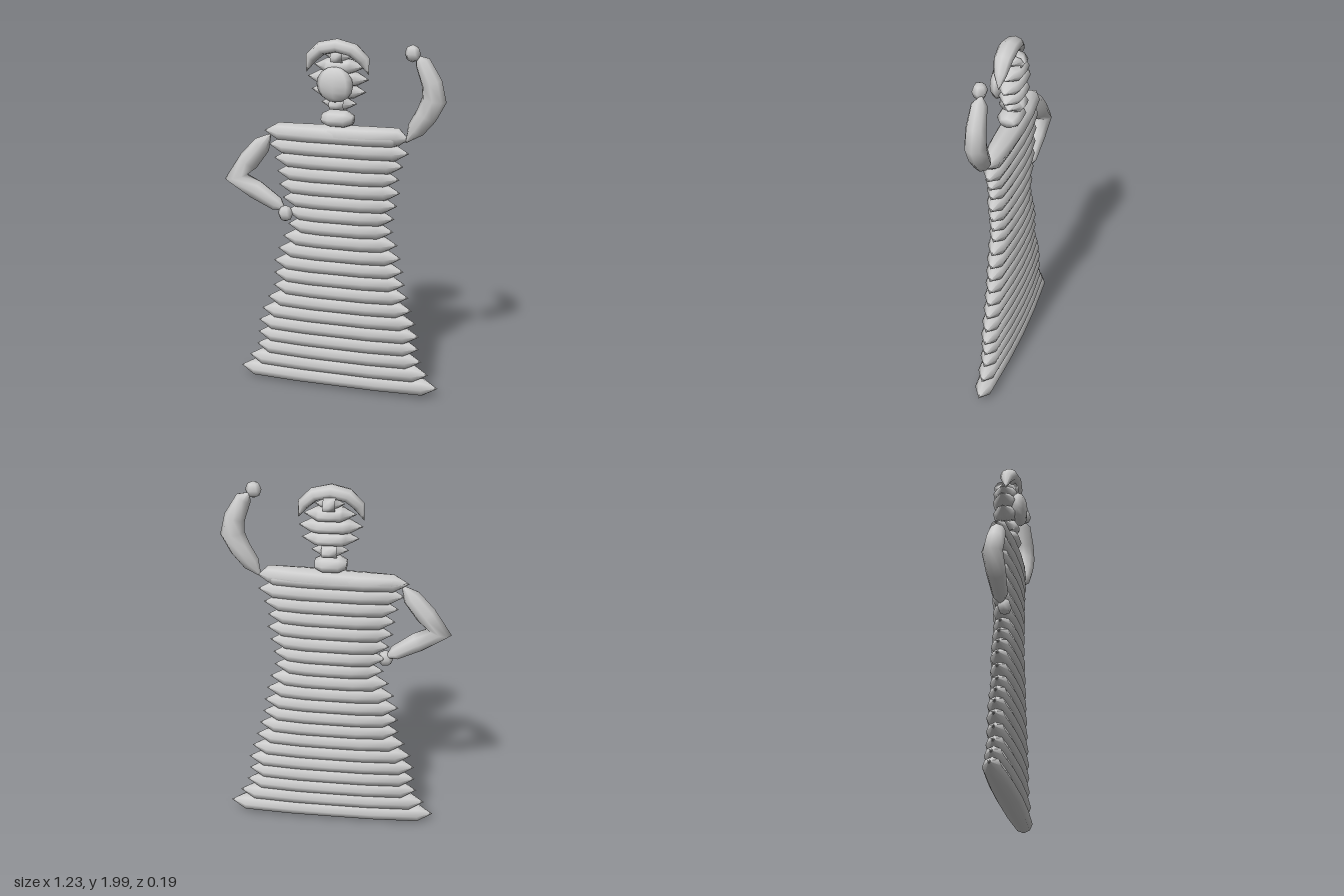
import * as THREE from 'three';

const clay = new THREE.MeshStandardMaterial({ color: 0xcccccc });
clay.name = 'pale grey';
const SIDES = 8;

// Smooth eight-sided tube; each station is [x, y, z, in-plane radius, depth radius].
function sweep(name, stations) {
  const pos = [], index = [];
  stations.forEach((s, i) => {
    const a = stations[Math.max(i - 1, 0)];
    const b = stations[Math.min(i + 1, stations.length - 1)];
    const t = new THREE.Vector2(b[0] - a[0], b[1] - a[1]).normalize();
    for (let j = 0; j < SIDES; j++) {
      const ang = (j / SIDES) * Math.PI * 2;
      const u = Math.cos(ang) * s[3];
      pos.push(s[0] - t.y * u, s[1] + t.x * u, s[2] + Math.sin(ang) * s[4]);
      if (i < stations.length - 1) {
        const p = i * SIDES + j, q = i * SIDES + (j + 1) % SIDES;
        index.push(p, q, p + SIDES, q, q + SIDES, p + SIDES);
      }
    }
  });
  const geo = new THREE.BufferGeometry();
  geo.setAttribute('position', new THREE.Float32BufferAttribute(pos, 3));
  geo.setIndex(index);
  geo.computeVertexNormals();
  const mesh = new THREE.Mesh(geo, clay);
  mesh.name = name;
  return mesh;
}

// Horizontal spindle with pointed ends and a slightly thinner waist.
function spindle(name, x0, x1, y0, y1, tip, ry, rz, zc) {
  const along = (x, k, d) => {
    const f = (x - x0) / (x1 - x0);
    return [x, y0 + (y1 - y0) * f, zc, ry * k, rz * d];
  };
  const w = x1 - x0;
  return sweep(name, [
    along(x0, 0, 0), along(x0 + tip, 0.9, 0.7), along(x0 + w * 0.3, 0.95, 0.93),
    along(x0 + w * 0.5, 0.9, 1), along(x0 + w * 0.7, 0.95, 0.93),
    along(x1 - tip, 0.9, 0.7), along(x1, 0, 0),
  ]);
}

function ball(name, x, y, z, rx, ry, rz, w, h) {
  const mesh = new THREE.Mesh(new THREE.SphereGeometry(1, w, h), clay);
  mesh.name = name;
  mesh.position.set(x, y, z);
  mesh.scale.set(rx, ry, rz);
  return mesh;
}

export function createModel() {
  const model = new THREE.Group();
  model.name = 'robedFigure';

  // Robe: stacked layers from hem to shoulders, [left tip, right tip]
  const robe = new THREE.Group();
  robe.name = 'robe';
  const tips = [
    [-0.55, 0.605], [-0.5, 0.55], [-0.455, 0.51], [-0.445, 0.495], [-0.44, 0.495],
    [-0.42, 0.475], [-0.385, 0.45], [-0.35, 0.43], [-0.345, 0.41], [-0.345, 0.4],
    [-0.32, 0.385], [-0.29, 0.365], [-0.26, 0.34], [-0.27, 0.345], [-0.29, 0.36],
    [-0.31, 0.375], [-0.32, 0.37], [-0.335, 0.39], [-0.365, 0.42], [-0.39, 0.415],
  ];
  tips.forEach(([a, b], i) => {
    const y = 0.06 + i * 0.0743;
    robe.add(spindle('robeLayer', a, b, y - 0.003, y + 0.008, 0.085, 0.056, 0.071, -0.012));
  });
  // Rounded shoulder yoke over the topmost layer
  robe.add(sweep('shoulderYoke', [
    [-0.385, 1.472, -0.015, 0, 0], [-0.3, 1.475, -0.013, 0.04, 0.05],
    [-0.1, 1.475, -0.013, 0.052, 0.065], [0.05, 1.48, -0.013, 0.053, 0.07],
    [0.2, 1.485, -0.013, 0.053, 0.065], [0.36, 1.492, -0.012, 0.05, 0.045],
    [0.415, 1.485, -0.01, 0, 0],
  ]));
  model.add(robe);

  // Neck: short blunt barrel
  model.add(sweep('neck', [
    [-0.057, 1.565, -0.012, 0, 0], [-0.057, 1.565, -0.012, 0.027, 0.04],
    [-0.015, 1.567, -0.012, 0.047, 0.066], [0.07, 1.567, -0.012, 0.047, 0.066],
    [0.11, 1.565, -0.012, 0.027, 0.04], [0.11, 1.565, -0.012, 0, 0],
  ]));

  // Head: thin stacked layers
  const head = new THREE.Group();
  head.name = 'head';
  [[-0.07, 0.13, 1.65], [-0.125, 0.18, 1.717], [-0.145, 0.195, 1.785],
    [-0.11, 0.17, 1.85], [-0.05, 0.11, 1.905]].forEach(([a, b, y]) => {
    head.add(spindle('headLayer', a, b, y, y, 0.07, 0.042, 0.072, -0.024));
  });
  // Face: shallow domed disc
  head.add(ball('face', 0.028, 1.765, 0.05, 0.1, 0.095, 0.045, 8, 8));
  // Hair: arched roll over the top
  head.add(sweep('hairRoll', [
    [-0.145, 1.81, 0, 0, 0], [-0.118, 1.89, 0, 0.033, 0.035],
    [-0.06, 1.943, 0.003, 0.037, 0.05], [0.028, 1.963, 0.004, 0.037, 0.055],
    [0.115, 1.943, 0.003, 0.037, 0.05], [0.172, 1.89, 0, 0.033, 0.035],
    [0.2, 1.815, 0, 0, 0],
  ]));
  model.add(head);

  // Raised left arm
  const leftArm = new THREE.Group();
  leftArm.name = 'leftArm';
  leftArm.add(sweep('leftSleeve', [
    [0.4, 1.465, 0, 0, 0], [0.455, 1.545, 0, 0.048, 0.046], [0.51, 1.625, 0, 0.058, 0.053],
    [0.55, 1.71, 0, 0.066, 0.056], [0.535, 1.8, 0, 0.056, 0.053],
    [0.485, 1.905, 0, 0.042, 0.042], [0.45, 1.94, 0, 0, 0],
  ]));
  leftArm.add(ball('leftHand', 0.435, 1.95, 0.015, 0.043, 0.046, 0.04, 6, 4));
  model.add(leftArm);

  // Right arm bent with the hand on the hip
  const rightArm = new THREE.Group();
  rightArm.name = 'rightArm';
  rightArm.add(sweep('rightSleeve', [
    [-0.345, 1.46, 0, 0, 0], [-0.4, 1.39, 0, 0.05, 0.046], [-0.48, 1.29, 0, 0.058, 0.053],
    [-0.555, 1.195, 0, 0.066, 0.056], [-0.44, 1.13, 0, 0.056, 0.053],
    [-0.32, 1.06, 0, 0.042, 0.042], [-0.265, 1.025, 0, 0, 0],
  ]));
  rightArm.add(ball('rightHand', -0.265, 1.015, 0.015, 0.043, 0.046, 0.04, 6, 4));
  model.add(rightArm);

  return model;
}
